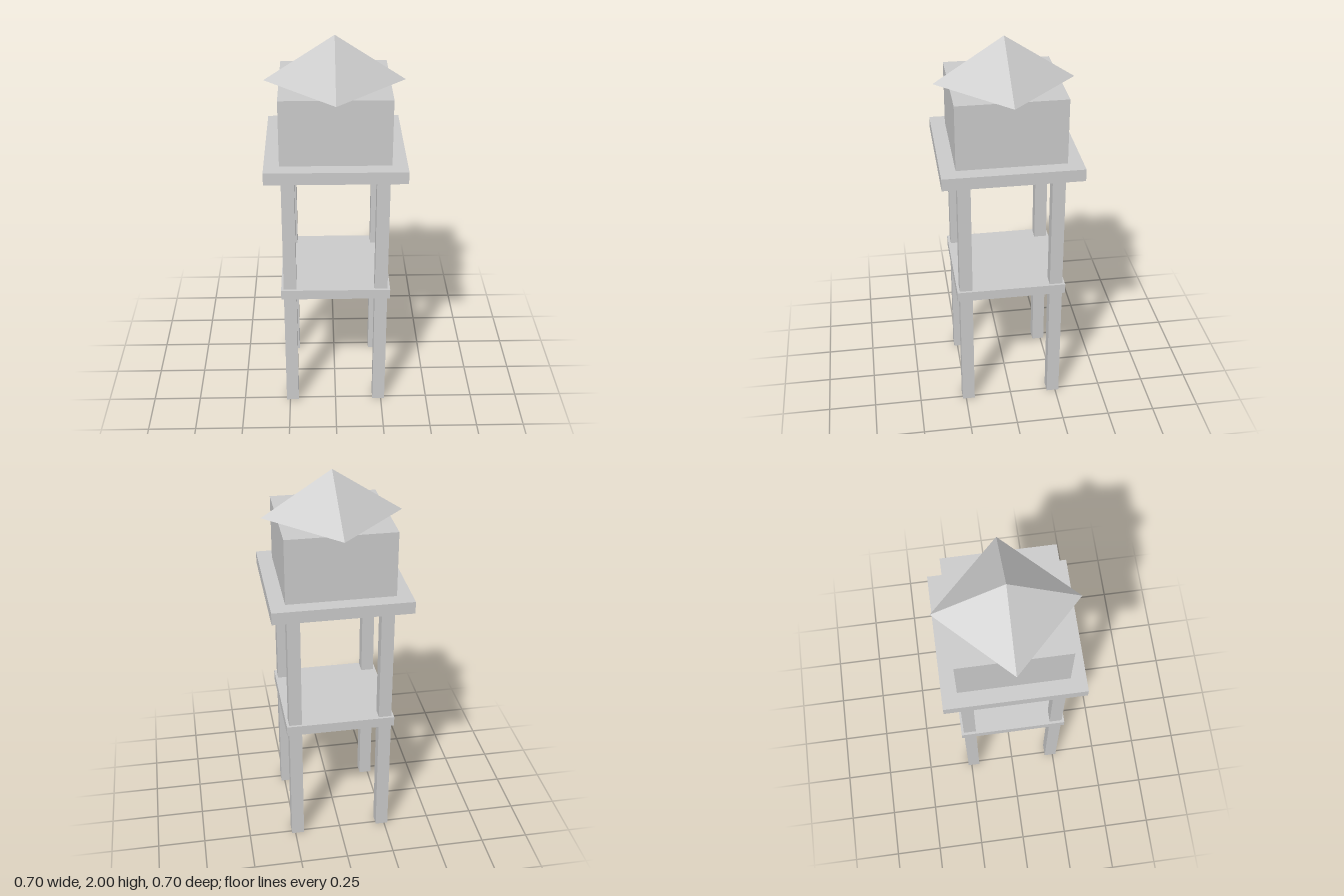
import * as THREE from 'three';

export function createModel() {
  const model = new THREE.Group();
  model.name = 'waterTower';
  const material = new THREE.MeshStandardMaterial({ color: 0xcccccc, flatShading: true });

  function add(name, geometry, x, y, z) {
    const mesh = new THREE.Mesh(geometry, material);
    mesh.name = name;
    mesh.position.set(x, y, z);
    model.add(mesh);
  }

  // Square slab between two heights
  function slab(name, width, bottom, top, x = 0, z = 0) {
    add(name, new THREE.BoxGeometry(width, top - bottom, width), x, (bottom + top) / 2, z);
  }

  // Four corner legs
  for (const sx of [-1, 1]) {
    for (const sz of [-1, 1]) {
      const name = (sz > 0 ? 'front' : 'back') + (sx > 0 ? 'Left' : 'Right') + 'Leg';
      slab(name, 0.066, 0, 1.372, sx * 0.236, sz * 0.236);
    }
  }

  // Decks and cabin
  slab('lowerDeck', 0.565, 0.672, 0.725);
  slab('upperDeck', 0.7, 1.372, 1.435);
  slab('cabin', 0.548, 1.435, 1.772);

  // Pyramid roof, its corners on the axes
  const roofBase = 1.772;
  const roofHeight = 2 - roofBase;
  add('roof', new THREE.ConeGeometry(0.35, roofHeight, 4), 0, roofBase + roofHeight / 2, 0);

  return model;
}
